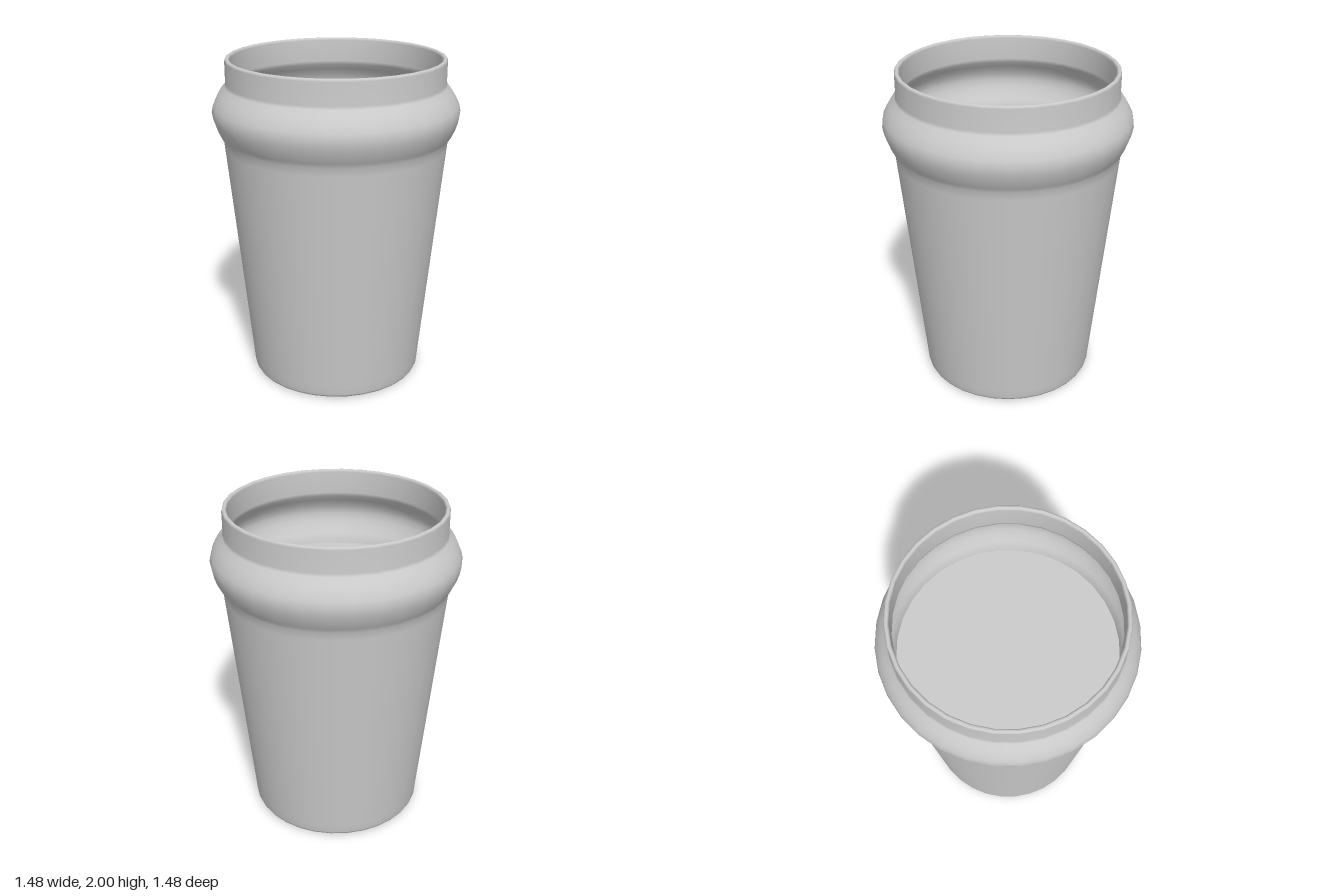
import * as THREE from 'three';

const SEGMENTS = 32;

function lathe(name, profile) {
  const points = profile.map(([r, y]) => new THREE.Vector2(r, y));
  const material = new THREE.MeshStandardMaterial({ color: 0xcccccc });
  const mesh = new THREE.Mesh(new THREE.LatheGeometry(points, SEGMENTS), material);
  mesh.name = name;
  return mesh;
}

export function createModel() {
  const model = new THREE.Group();
  model.name = 'pintGlass';

  // Glass: one closed profile, up the outside, over the rim and down the inside
  const outside = [
    [0, 0], [0.49, 0], [0.507, 0.002], [0.525, 0.01], [0.532, 0.025], [0.537, 0.08],
    [0.672, 1.47], [0.677, 1.52], [0.695, 1.548], [0.718, 1.595], [0.733, 1.64],
    [0.741, 1.685], [0.733, 1.725], [0.714, 1.765], [0.69, 1.805], [0.662, 1.838],
    [0.655, 1.855], [0.655, 1.985],
  ];
  const rim = [[0.652, 1.996], [0.645, 2], [0.637, 2], [0.63, 1.996]];
  const inside = [
    [0.627, 1.985], [0.627, 1.85], [0.635, 1.825], [0.664, 1.79], [0.688, 1.755],
    [0.705, 1.72], [0.712, 1.685], [0.705, 1.645], [0.69, 1.605], [0.668, 1.56],
    [0.648, 1.525], [0.642, 1.47], [0.515, 0.12], [0.49, 0.08], [0, 0.08],
  ];
  model.add(lathe('glass', [...outside, ...rim, ...inside]));

  // Drink: solid fill with a flat surface just below the bulge
  const wall = lathe('drinkBody', [[0, 0.09], [0.485, 0.09], [0.51, 0.125], [0.64, 1.5]]);
  const surface = lathe('drinkSurface', [[0.643, 1.5], [0, 1.5]]);
  const drink = new THREE.Group();
  drink.name = 'drink';
  drink.add(wall, surface);
  model.add(drink);

  return model;
}
